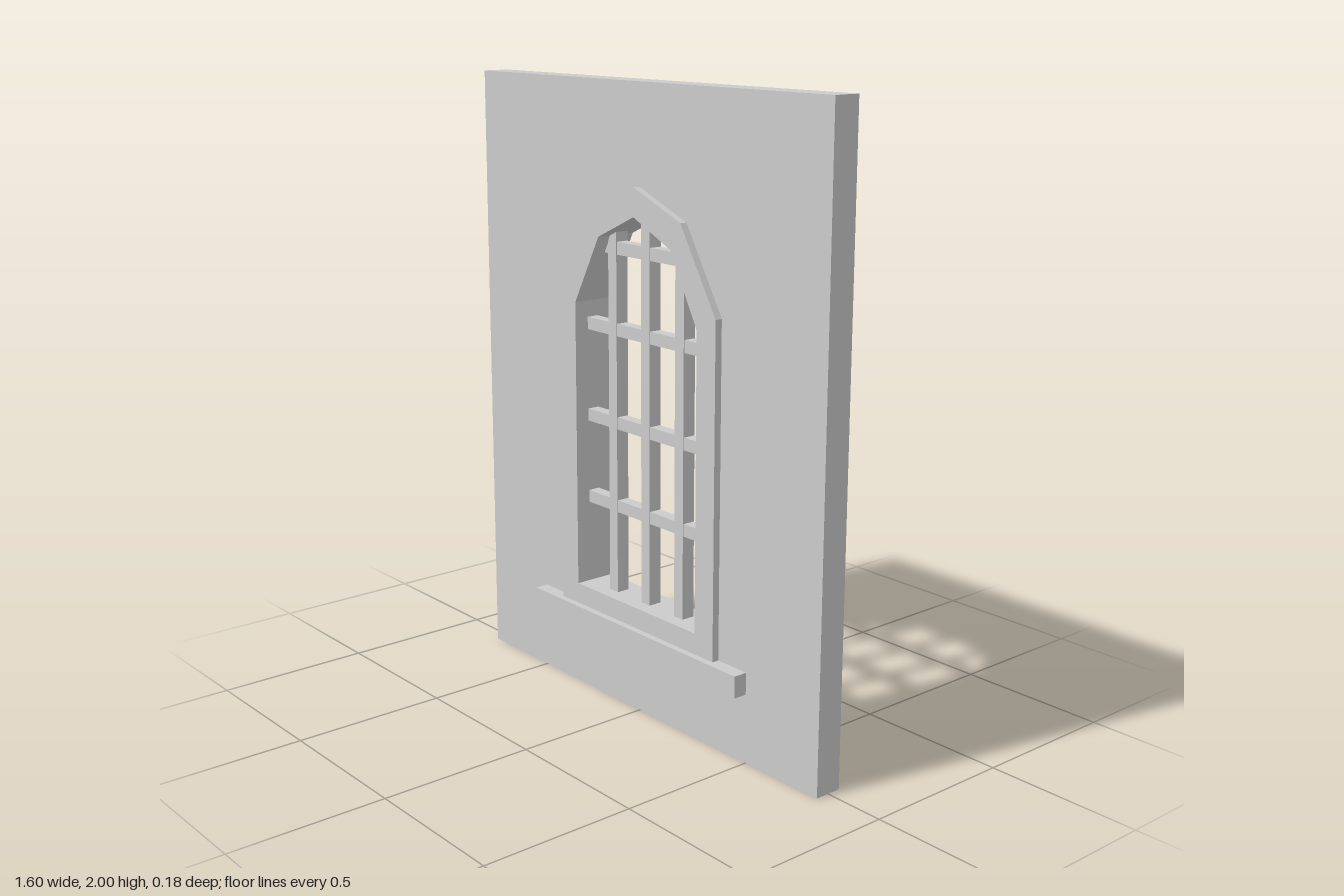
import * as THREE from 'three';

const material = new THREE.MeshStandardMaterial({ color: 0xcccccc, flatShading: true });

// Mirrors the right half of an outline (bottom to apex) into a closed loop.
function archPoints(half) {
  const left = half.filter(([x]) => x > 0).reverse().map(([x, y]) => [-x, y]);
  return [...half, ...left].map(([x, y]) => new THREE.Vector2(x, y));
}

// Extrudes an outline with a hole, centred on z = 0.
function plate(name, outer, hole, depth) {
  const shape = new THREE.Shape(outer);
  shape.holes.push(new THREE.Path(hole));
  const geometry = new THREE.ExtrudeGeometry(shape, { depth, bevelEnabled: false });
  geometry.translate(0, 0, -depth / 2);
  const mesh = new THREE.Mesh(geometry, material);
  mesh.name = name;
  return mesh;
}

function box(name, w, h, d, x, y) {
  const mesh = new THREE.Mesh(new THREE.BoxGeometry(w, h, d), material);
  mesh.position.set(x, y, 0);
  mesh.name = name;
  return mesh;
}

export function createModel() {
  const group = new THREE.Group();
  group.name = 'archedWindowWall';

  const wallOutline = archPoints([[0.8, 0], [0.8, 2]]);
  const frameOuter = archPoints([[0.372, 0.27], [0.372, 1.343], [0.215, 1.605], [0, 1.69]]);
  const frameInner = archPoints([[0.29, 0.358], [0.29, 1.3], [0.17, 1.522], [0, 1.6]]);

  // Wall and the pointed frame set through it
  group.add(plate('wall', wallOutline, frameOuter, 0.09));
  group.add(plate('frame', frameOuter, frameInner, 0.138));

  // Sill standing out on both sides
  group.add(box('sill', 0.99, 0.07, 0.182, 0, 0.255));

  // Upright bars, ending inside the arch
  const grille = new THREE.Group();
  grille.name = 'grille';
  for (const [x, top] of [[-0.16, 1.54], [0, 1.62], [0.16, 1.54]]) {
    grille.add(box('uprightBar', 0.04, top - 0.35, 0.045, x, (top + 0.35) / 2));
  }
  // Cross bars, the top one shorter to fit the arch
  for (const [y, width] of [[0.65, 0.6], [0.925, 0.6], [1.227, 0.6], [1.485, 0.42]]) {
    grille.add(box('crossBar', width, 0.04, 0.04, 0, y));
  }
  group.add(grille);

  return group;
}
